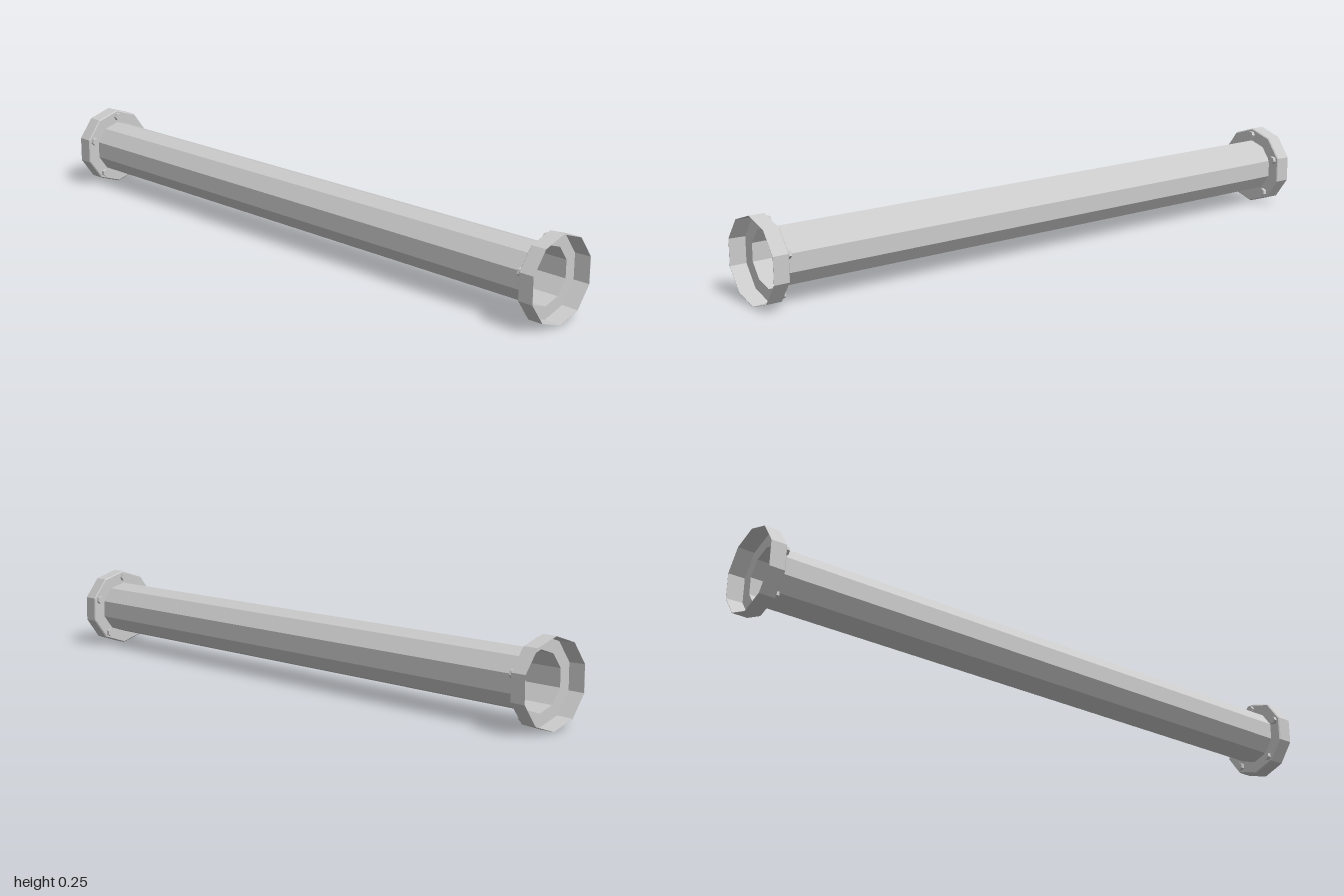
import * as THREE from 'three';

const SIDES = 10;
const PIPE_R = 0.086, RIM_R = 0.1275, BACK_R = 0.124;
const BACK_X = 0.95, BOLT_RING = 0.106, BOLTS = 5;

const metal = new THREE.MeshStandardMaterial({
  color: 0xcccccc, flatShading: true, side: THREE.DoubleSide,
});

// Ten-sided shell turned around the x axis, from [radius, x] points, with a corner at the top
function shell(name, profile) {
  const points = profile.map(([r, x]) => new THREE.Vector2(r, x));
  const geometry = new THREE.LatheGeometry(points, SIDES, Math.PI / 2);
  geometry.rotateZ(-Math.PI / 2);
  const mesh = new THREE.Mesh(geometry, metal);
  mesh.name = name;
  return mesh;
}

// Open flange cup with five bolt heads on its inner side
function createEnd(name) {
  const end = new THREE.Group();
  end.name = name;
  end.add(shell('flange', [[PIPE_R, BACK_X], [BACK_R, BACK_X], [RIM_R, BACK_X + 0.003], [RIM_R, 1], [RIM_R - 0.001, 1], [BACK_R, BACK_X]]));

  const boltGeometry = new THREE.CylinderGeometry(0.013, 0.013, 0.012, 6);
  boltGeometry.rotateZ(Math.PI / 2);
  for (let i = 0; i < BOLTS; i++) {
    const a = (i / BOLTS) * Math.PI * 2;
    const bolt = new THREE.Mesh(boltGeometry, metal);
    bolt.name = 'bolt';
    bolt.position.set(BACK_X - 0.006, Math.cos(a) * BOLT_RING, Math.sin(a) * BOLT_RING);
    bolt.rotation.x = a;
    end.add(bolt);
  }
  return end;
}

export function createModel() {
  const model = new THREE.Group();
  model.name = 'flangedPipe';

  // Long thin-walled tube
  model.add(shell('pipe', [[PIPE_R, -BACK_X], [PIPE_R, BACK_X]]));

  // Matching ends
  const leftEnd = createEnd('leftEnd');
  const rightEnd = createEnd('rightEnd');
  rightEnd.rotation.y = Math.PI;
  model.add(leftEnd, rightEnd);

  model.position.y = RIM_R;
  return model;
}
